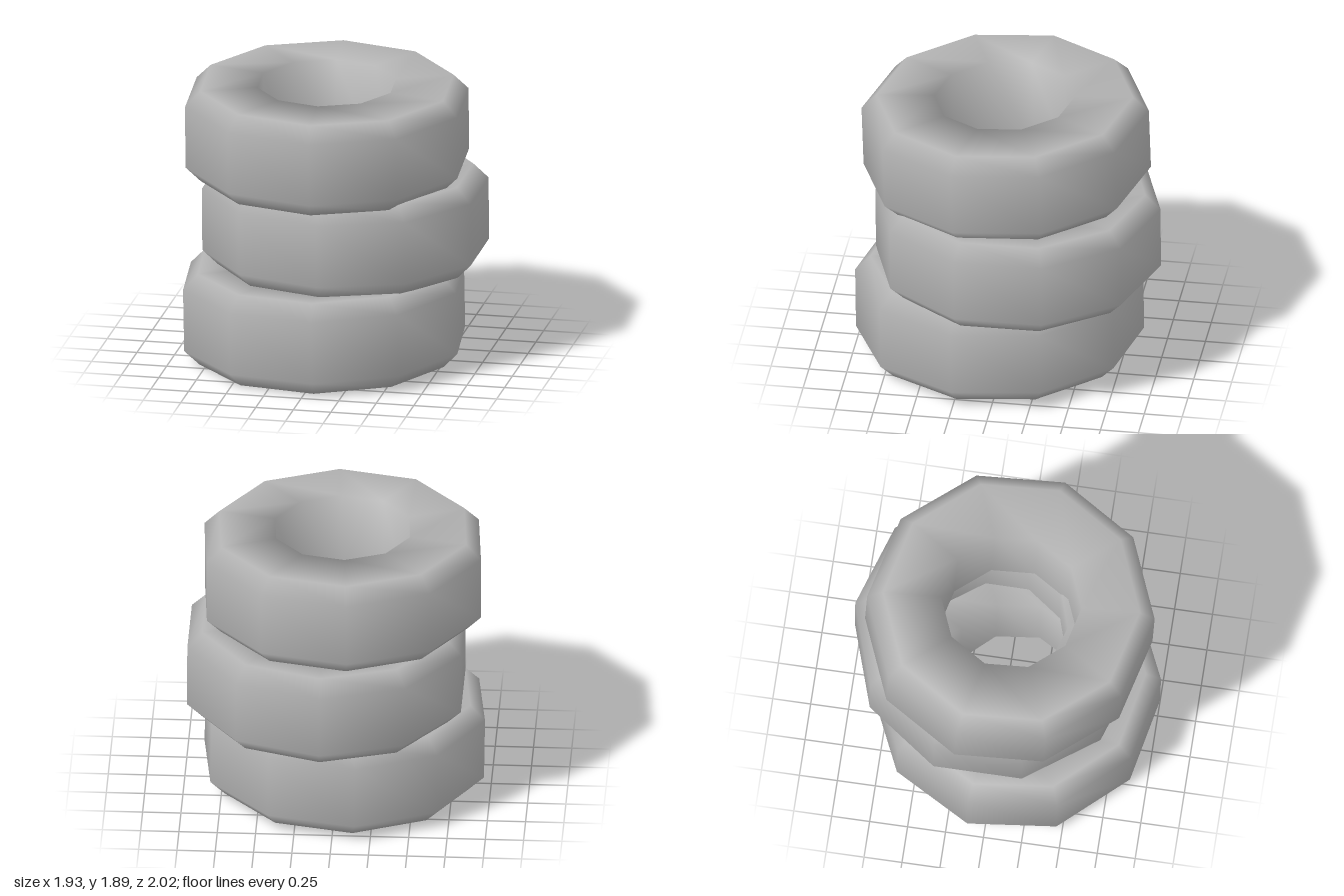
import * as THREE from 'three';

const SIDES = 10;

// Ring cross-section: flat faces, bevelled outer shoulders, straight bore
const PROFILE = [
  [0.46, -0.31], [0.84, -0.31], [0.94, -0.21], [0.94, 0.21],
  [0.84, 0.31], [0.46, 0.31], [0.46, -0.31],
].map(([r, y]) => new THREE.Vector2(r, y));

// Each tyre: centre, slight tilt about x and z, turn about its own axis (degrees)
const TYRES = [
  { name: 'bottomTyre', position: [-0.04, 0.33, 0.075], tiltX: 0.016, tiltZ: 0.015, turn: 6.7 },
  { name: 'middleTyre', position: [0.073, 0.94, -0.065], tiltX: 0.005, tiltZ: 0.005, turn: 0 },
  { name: 'topTyre', position: [-0.03, 1.55, 0.03], tiltX: 0.033, tiltZ: -0.003, turn: 4.3 },
];

export function createModel() {
  const group = new THREE.Group();
  group.name = 'tyreStack';

  const rubber = new THREE.MeshStandardMaterial({ color: 0xb4b4b4 });
  rubber.name = 'grey rubber';

  for (const { name, position, tiltX, tiltZ, turn } of TYRES) {
    const start = THREE.MathUtils.degToRad(turn);
    const tyre = new THREE.Mesh(new THREE.LatheGeometry(PROFILE, SIDES, start), rubber);
    tyre.name = name;
    tyre.position.set(...position);
    tyre.rotation.set(tiltX, 0, tiltZ);
    group.add(tyre);
  }
  return group;
}
